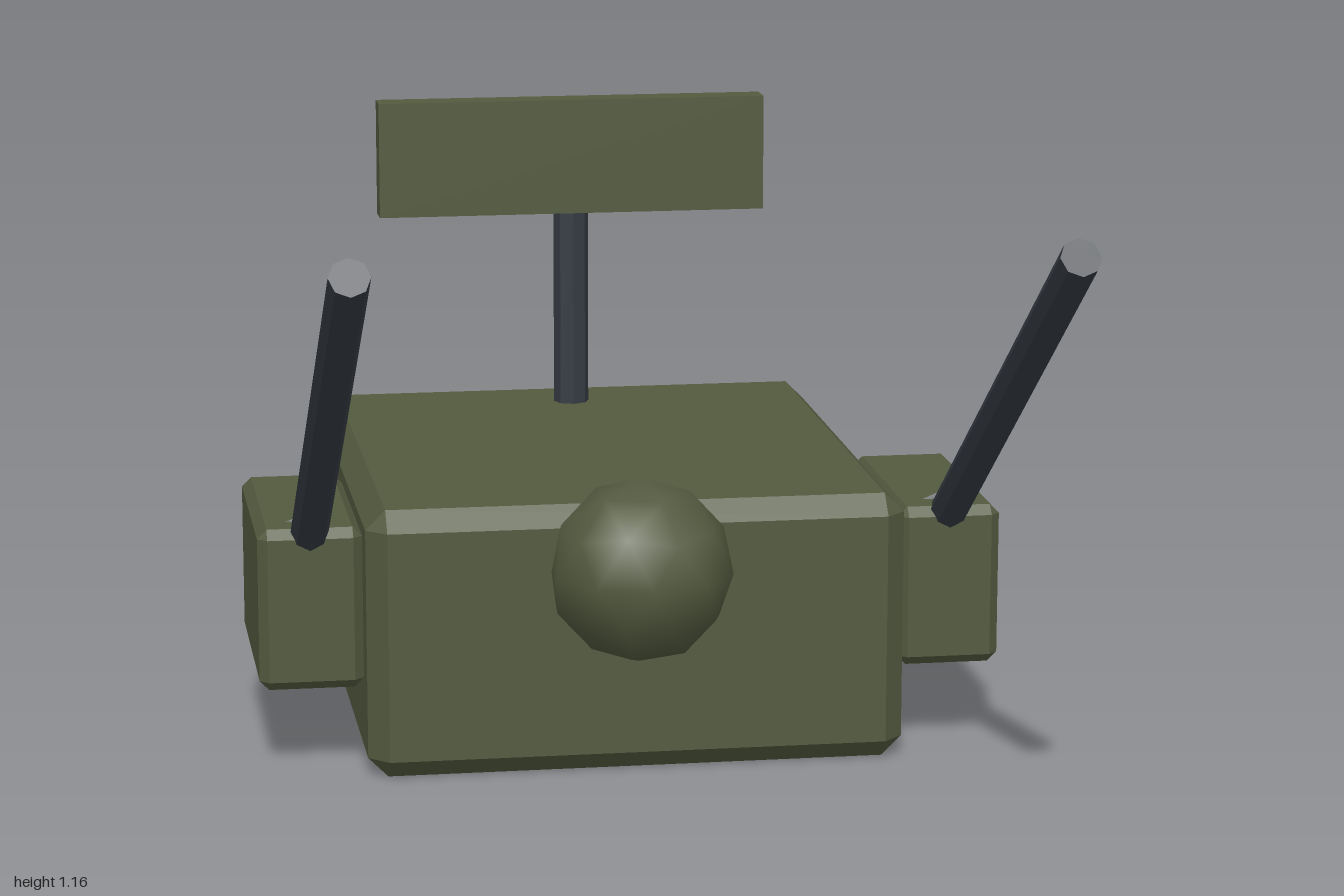
import * as THREE from 'three';
import { ConvexGeometry } from 'three/addons/geometries/ConvexGeometry.js';

// Box with every edge cut at 45 degrees and triangular corners
function chamferBox(w, h, d, c) {
  const pts = [];
  for (const x of [-1, 1]) for (const y of [-1, 1]) for (const z of [-1, 1]) {
    pts.push(new THREE.Vector3(x * w / 2, y * (h / 2 - c), z * (d / 2 - c)));
    pts.push(new THREE.Vector3(x * (w / 2 - c), y * h / 2, z * (d / 2 - c)));
    pts.push(new THREE.Vector3(x * (w / 2 - c), y * (h / 2 - c), z * d / 2));
  }
  return new ConvexGeometry(pts);
}

export function createModel() {
  const model = new THREE.Group();
  model.name = 'turret';

  const olive = new THREE.MeshStandardMaterial({ color: 0x535a3f, flatShading: true });
  olive.name = 'olive armour';
  const oliveSmooth = olive; // same paint on every armoured part
  const steel = new THREE.MeshStandardMaterial({ color: 0x363c44, flatShading: true });
  steel.name = 'dark steel';

  function add(name, geometry, material, x, y, z, parent = model) {
    const mesh = new THREE.Mesh(geometry, material);
    mesh.name = name;
    mesh.position.set(x, y, z);
    parent.add(mesh);
    return mesh;
  }

  // Smooth parts use vertex normals; flat parts carry their own face normals
  olive.flatShading = false;

  // Main body
  add('body', chamferBox(1.03, 0.52, 1.11, 0.038), olive, 0, 0.26, -0.445);

  // Round sensor dome on the front, one vertex pointing straight up
  const dome = new THREE.IcosahedronGeometry(0.177, 1);
  dome.rotateZ(-Math.atan(2 / (1 + Math.sqrt(5))));
  add('sensorDome', dome, oliveSmooth, 0, 0.398, 0.118);

  // Radar mast and panel
  add('radarMast', new THREE.CylinderGeometry(0.036, 0.036, 0.42, 8), steel, 0, 0.71, -0.84);
  add('radarPanel', new THREE.BoxGeometry(0.796, 0.235, 0.062), olive, 0, 1.038, -0.84);

  // Gun pods with raised barrels, one on each side
  const tilt = Math.atan2(0.983, 0.678);
  for (const [side, s] of [['left', 1], ['right', -1]]) {
    const pod = new THREE.Group();
    pod.name = side + 'GunPod';
    pod.position.x = s * 0.615;
    model.add(pod);

    add(side + 'PodHousing', chamferBox(0.198, 0.313, 0.473, 0.018), olive, 0, 0.32, -0.204, pod);

    // Gun axis: local y runs along the barrel, origin at the collar's front face
    const gun = new THREE.Group();
    gun.name = side + 'Gun';
    gun.position.set(0, 0.444, -0.02);
    gun.rotation.x = tilt;
    pod.add(gun);
    add(side + 'Barrel', new THREE.CylinderGeometry(0.036, 0.036, 1.26, 8), steel, 0, 0.587, 0, gun);
    add(side + 'BarrelCollar', new THREE.CylinderGeometry(0.056, 0.056, 0.14, 8), steel, 0, -0.07, 0, gun);
  }

  return model;
}
